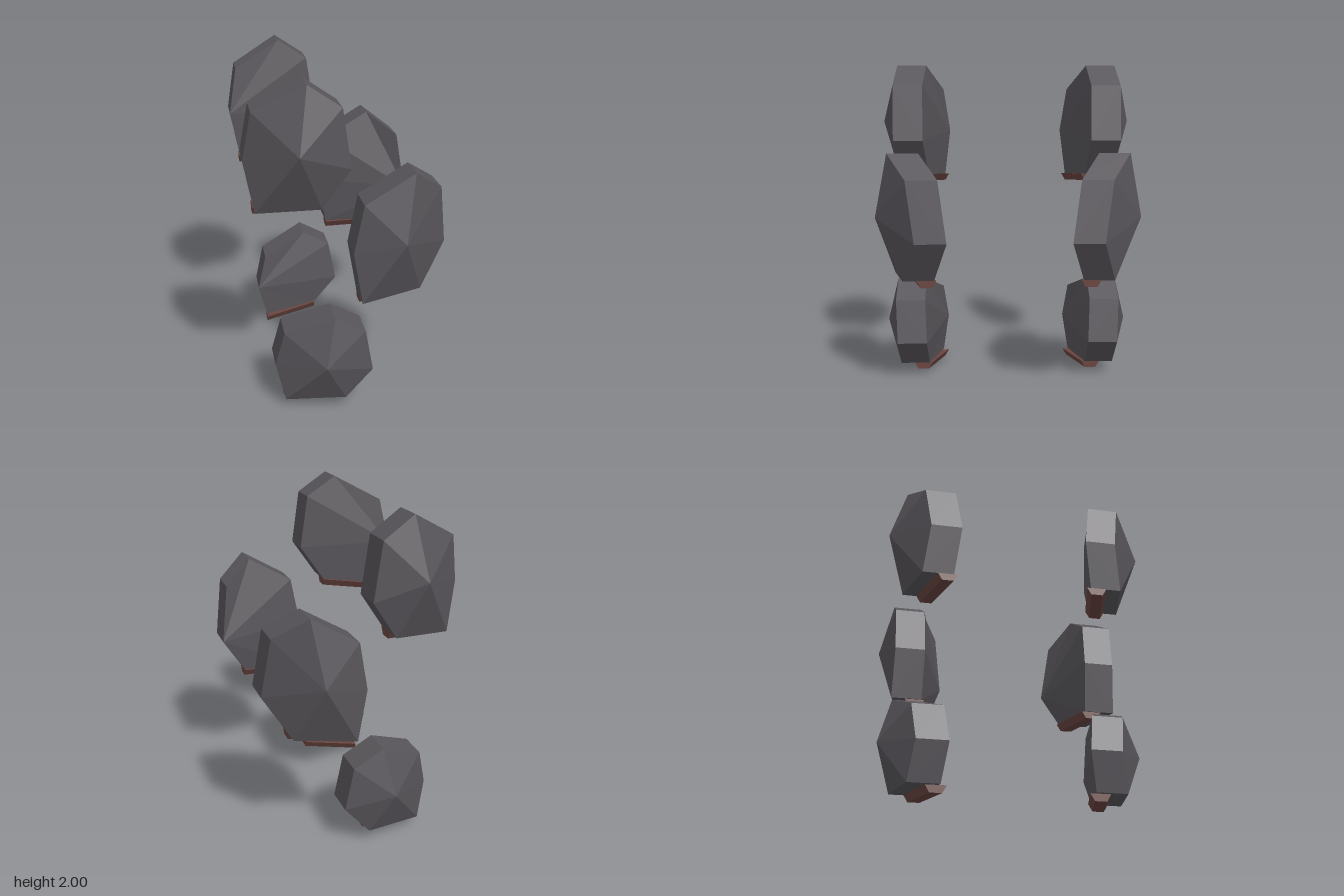
import * as THREE from 'three';

const stone = new THREE.MeshStandardMaterial({ color: 0x59565b, flatShading: true });
const brown = new THREE.MeshStandardMaterial({ color: 0x6b4641, flatShading: true });
const DEPTH = 0.185;

// Each plate: peak point, clockwise rim [x, y, inner z], pivot corner of the inner face,
// and the two ends of the bar below it [x, bottom y, z].
const plates = [
  {
    name: 'upper', peak: [-0.305, 1.64, 0.8], pivot: 5,
    rim: [[-0.25, 2, 0.515], [-0.065, 1.875, 0.53], [-0.015, 1.535, 0.53], [-0.17, 1.305, 0.505],
      [-0.53, 1.27, 0.415], [-0.585, 1.565, 0.38], [-0.535, 1.845, 0.42]],
    bar: [[-0.535, 1.225, 0.45], [-0.167, 1.265, 0.545]],
  },
  {
    name: 'middle', peak: [0.285, 1.1, 0.8], pivot: 2,
    rim: [[0.345, 1.49, 0.53], [0.53, 1.355, 0.41], [0.58, 0.995, 0.36], [0.42, 0.74, 0.445],
      [0.06, 0.71, 0.525], [0.005, 1.025, 0.52], [0.06, 1.32, 0.53]],
    bar: [[0.063, 0.665, 0.565], [0.423, 0.7, 0.49]],
  },
  {
    name: 'lower', peak: [-0.16, 0.34, 0.785], pivot: 5,
    rim: [[-0.1, 0.63, 0.525], [0.08, 0.53, 0.525], [0.13, 0.26, 0.515], [-0.03, 0.075, 0.51],
      [-0.385, 0.05, 0.435], [-0.44, 0.28, 0.4], [-0.385, 0.505, 0.43]],
    bar: [[-0.383, 0, 0.46], [-0.03, 0.035, 0.55]],
  },
];

// Faceted plate: raised fan outside, straight rim, fanned inner face
function plateGeometry({ peak, rim, pivot }, side) {
  const n = rim.length, pos = [];
  const inner = (i) => rim[i % n];
  const outer = (i) => [rim[i % n][0], rim[i % n][1], rim[i % n][2] + DEPTH];
  const tri = (a, b, c) => {
    for (const p of side > 0 ? [a, b, c] : [a, c, b]) pos.push(p[0], p[1], p[2] * side);
  };
  for (let i = 0; i < n; i++) {
    tri(peak, outer(i + 1), outer(i));
    tri(outer(i), outer(i + 1), inner(i + 1));
    tri(outer(i), inner(i + 1), inner(i));
  }
  for (let i = 1; i < n - 1; i++) tri(inner(pivot), inner(pivot + i), inner(pivot + i + 1));
  const geo = new THREE.BufferGeometry();
  geo.setAttribute('position', new THREE.Float32BufferAttribute(pos, 3));
  geo.computeVertexNormals();
  return geo;
}

// Bar with a narrower underside, stretched between its two ends
function barGeometry([a, b], side) {
  const geo = new THREE.BoxGeometry(1, 1, 1);
  const p = geo.attributes.position;
  for (let i = 0; i < p.count; i++) {
    const t = p.getX(i) + 0.5, top = p.getY(i) > 0;
    const [x, y, z] = a.map((v, k) => THREE.MathUtils.lerp(v, b[k], t));
    p.setXYZ(i, x, y + (top ? 0.044 : 0), side * z + p.getZ(i) * (top ? 0.12 : 0.07));
  }
  geo.computeVertexNormals();
  return geo;
}

export function createModel() {
  const model = new THREE.Group();
  model.name = 'armourPlates';
  for (const side of [1, -1]) {
    const set = new THREE.Group();
    set.name = side > 0 ? 'frontPlates' : 'backPlates';
    for (const plate of plates) {
      const shell = new THREE.Mesh(plateGeometry(plate, side), stone);
      shell.name = plate.name + 'Plate';
      const bar = new THREE.Mesh(barGeometry(plate.bar, side), brown);
      bar.name = plate.name + 'Bar';
      set.add(shell, bar);
    }
    model.add(set);
  }
  return model;
}
